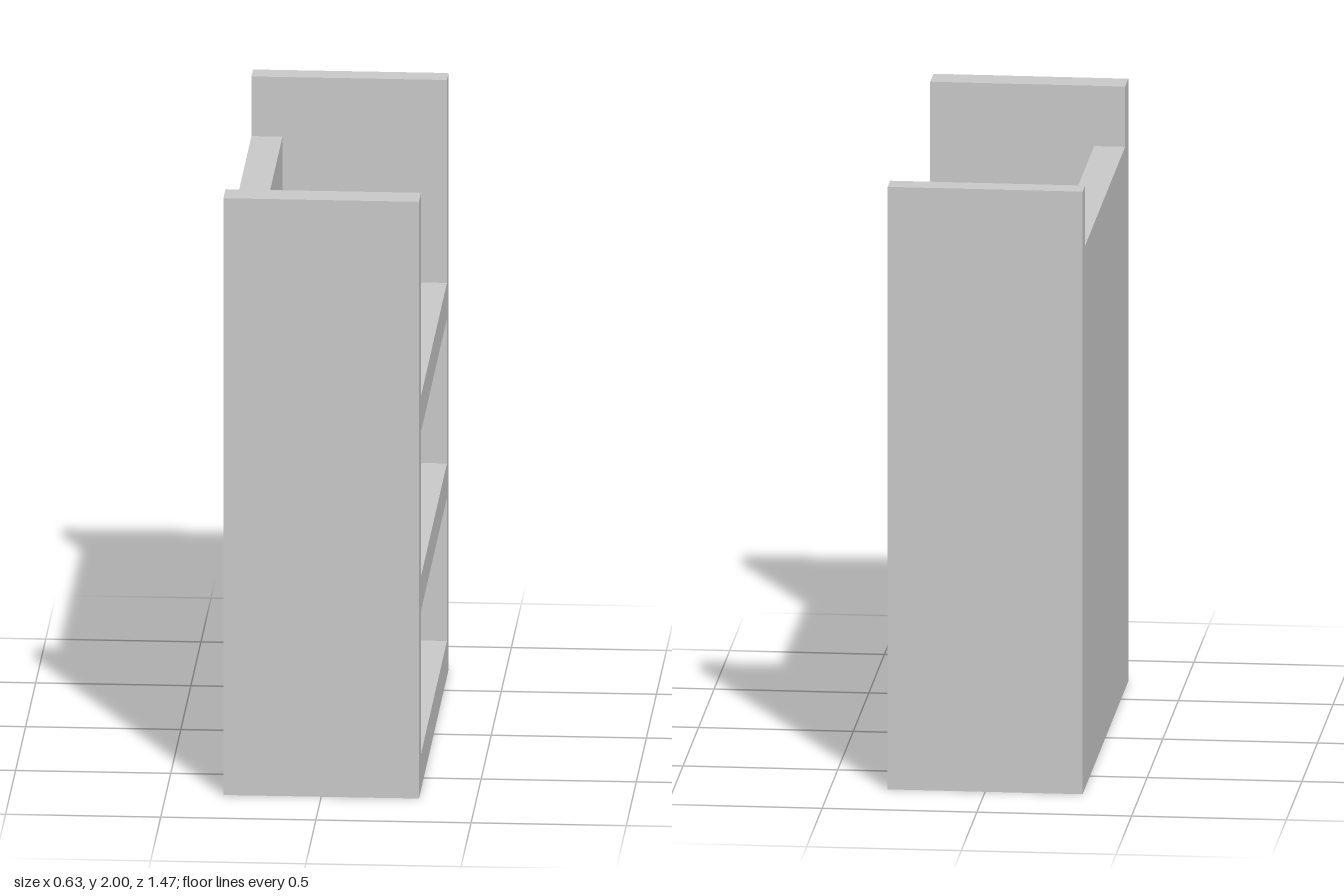
import * as THREE from 'three';

const material = new THREE.MeshStandardMaterial({ color: 0xcccccc, flatShading: true });

// Box given by its lower and upper limits on each axis
function board(name, [x0, x1], [y0, y1], [z0, z1]) {
  const mesh = new THREE.Mesh(new THREE.BoxGeometry(x1 - x0, y1 - y0, z1 - z0), material);
  mesh.name = name;
  mesh.position.set((x0 + x1) / 2, (y0 + y1) / 2, (z0 + z1) / 2);
  return mesh;
}

export function createModel() {
  const group = new THREE.Group();
  group.name = 'shelfUnit';

  const halfWidth = 0.315, halfLength = 0.735;
  const panelFace = -0.215;         // inner face of the rear panel
  const inner = [-0.655, 0.632];    // space between the two end walls
  const full = [-halfWidth, halfWidth];

  // Tall end walls, the front one slightly thicker
  group.add(board('frontWall', full, [0, 2], [inner[1], halfLength]));
  group.add(board('backWall', full, [0, 2], [-halfLength, inner[0]]));

  // Panel closing the side opposite the shelf openings, lower than the walls
  group.add(board('rearPanel', [-halfWidth, panelFace], [0, 1.8], inner));

  // Base and two shelves, flush with the open side
  const shelves = [[0, 0.12], [0.6, 0.715], [1.2, 1.32]];
  shelves.forEach((span, i) => {
    group.add(board(i === 0 ? 'base' : `shelf${i}`, [panelFace, halfWidth], span, inner));
  });

  return group;
}
